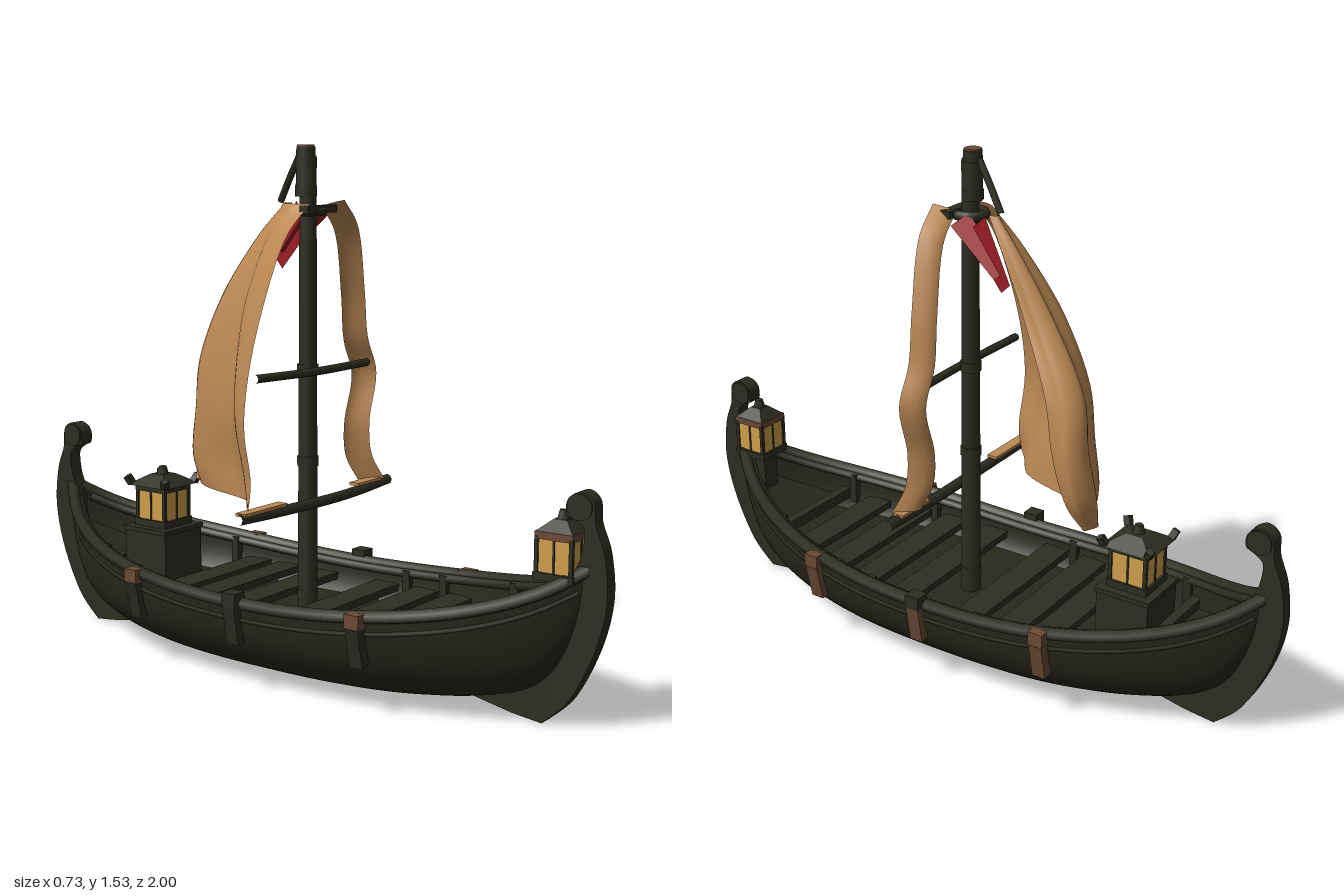
import * as THREE from 'three';

const mat = (name, color, side = THREE.FrontSide) => {
  const m = new THREE.MeshStandardMaterial({ color, side });
  m.name = name;
  return m;
};

// Surface from a rule f(u, v) -> [x, y, z]
function grid(nu, nv, f) {
  const pos = [], idx = [], w = nu + 1;
  for (let j = 0; j <= nv; j++) for (let i = 0; i <= nu; i++) pos.push(...f(i / nu, j / nv));
  for (let j = 0; j < nv; j++) for (let i = 0; i < nu; i++) {
    const a = j * w + i;
    idx.push(a, a + 1, a + w, a + 1, a + w + 1, a + w);
  }
  const g = new THREE.BufferGeometry();
  g.setAttribute('position', new THREE.Float32BufferAttribute(pos, 3));
  g.setIndex(idx);
  g.computeVertexNormals();
  return g;
}

// Hull lines, as functions of z
const LEN = 0.95;
const t = z => Math.min(Math.abs(z) / LEN, 1);
const beam = z => 0.31 * Math.pow(1 - Math.pow(t(z), 2.6), 0.9);
const sheer = z => 0.255 + 0.12 * t(z) ** 2 + 0.07 * t(z) ** 8;
const keel = z => 0.004 + 0.13 * t(z) ** 3 + 0.3 * t(z) ** 16;
// Half width of the hull at height y
const widthAt = (z, y) => {
  const f = THREE.MathUtils.clamp((y - keel(z)) / (sheer(z) - keel(z)), 0, 1);
  return beam(z) * Math.pow(1 - Math.pow(1 - f, 2.4), 1 / 2.4);
};

export function createModel() {
  const model = new THREE.Group();
  model.name = 'sailingBoat';
  const wood = mat('dark wood', 0x2e2d21);
  const shell = mat('dark hull wood', 0x29281c, THREE.DoubleSide);
  const cloth = mat('tan canvas', 0xbd8a55, THREE.DoubleSide);
  const red = mat('red cloth', 0x9a1c24, THREE.DoubleSide);
  const brown = mat('brown leather', 0x6b4a35);
  const amber = mat('amber glass', 0xd0a04c);

  const add = (name, geo, m, x = 0, y = 0, z = 0, parent = model) => {
    const mesh = new THREE.Mesh(geo, m);
    mesh.name = name;
    mesh.position.set(x, y, z);
    parent.add(mesh);
    return mesh;
  };
  const box = (name, w, h, d, m, x, y, z, parent) => add(name, new THREE.BoxGeometry(w, h, d), m, x, y, z, parent);
  const V = p => new THREE.Vector3(...p);
  const tube = (name, pts, r, m, n = 24, sides = 6) =>
    add(name, new THREE.TubeGeometry(new THREE.CatmullRomCurve3(pts.map(V)), n, r, sides), m);

  // Outer and inner hull shells
  const skin = (inset, lift) => grid(24, 72, (u, v) => {
    const z = Math.sin((v - 0.5) * Math.PI) * (LEN - inset);
    const a = (u * 2 - 1) * Math.PI / 2, p = 2 / 2.4;
    const k = Math.min(keel(z) + lift, sheer(z));
    const x = Math.sign(a) * Math.max(beam(z) - inset, 0) * Math.pow(Math.abs(Math.sin(a)), p);
    return [x, k + (sheer(z) - k) * (1 - Math.pow(Math.max(Math.cos(a), 0), p)), z];
  });
  add('hull', skin(0, 0), shell);
  add('hullInside', skin(0.022, 0.05), shell);

  // Gunwale rails with an inner rail and a plank strake
  for (const s of [-1, 1]) {
    const line = (end, drop, out) => Array.from({ length: 25 }, (_, i) => {
      const z = (i / 12 - 1) * end, y = sheer(z) - drop;
      return [s * Math.max(widthAt(z, y) + out, 0), y, z];
    });
    tube('gunwale', line(0.945, 0, -0.008), 0.02, wood, 64);
    tube('innerRail', line(0.89, 0.008, -0.032), 0.013, wood, 64);
    tube('strake', line(0.92, 0.045, -0.002), 0.007, wood, 64, 5);
  }

  // Floor, cross planks, ribs and end decks
  add('floor', grid(2, 30, (u, v) => {
    const z = (1 - v * 2) * 0.8, y = 0.155 + 0.1 * t(z) ** 3;
    return [(u * 2 - 1) * Math.max(widthAt(z, y) - 0.015, 0), y, z];
  }), shell);
  for (const z of [-0.36, -0.25, -0.11, 0.12, 0.27, 0.4, 0.54])
    box('crossPlank', 2 * widthAt(z, 0.2) - 0.04, 0.022, 0.085, wood, 0, 0.2 + 0.06 * z * z, z);
  for (const z of [-0.62, -0.44, -0.18, 0.2, 0.34, 0.62]) for (const s of [-1, 1])
    box('rib', 0.022, 0.1, 0.025, wood, s * (beam(z) - 0.034), sheer(z) - 0.048, z);
  for (const s of [-1, 1]) {
    const deck = grid(2, 8, (u, v) => {
      const z = s * (0.66 + 0.23 * v), y = sheer(z) - 0.09;
      return [(u * 2 - 1) * s * Math.max(widthAt(z, y) - 0.01, 0), y, z];
    });
    add('endDeck', deck, shell);
    box('endBeam', 2 * beam(0.65) - 0.05, 0.035, 0.03, wood, 0, sheer(0.65) - 0.075, s * 0.65);
  }

  // Stem and stern posts with curled heads and a foot below the keel
  const post = new THREE.Shape();
  post.moveTo(0.6, 0.035);
  post.lineTo(0.73, 0.01);
  post.lineTo(0.82, 0);
  post.splineThru([[0.9, 0.08], [0.97, 0.225], [1, 0.36], [0.99, 0.48], [0.962, 0.56], [0.955, 0.62], [0.92, 0.643],
    [0.882, 0.62], [0.878, 0.58], [0.905, 0.565], [0.93, 0.54], [0.925, 0.48], [0.905, 0.42],
    [0.9, 0.34], [0.86, 0.22], [0.79, 0.13], [0.7, 0.08]].map(p => new THREE.Vector2(...p)));
  for (const s of [-1, 1]) {
    const g = new THREE.ExtrudeGeometry(post, { depth: 0.044, bevelEnabled: false, curveSegments: 40 });
    g.translate(0, 0, -0.022).rotateY(-s * Math.PI / 2);
    add('endPost', g, wood);
    const curl = new THREE.CylinderGeometry(0.036, 0.036, 0.056, 14).rotateZ(Math.PI / 2);
    add('postCurl', curl, wood, 0, 0.602, s * 0.917);
  }

  // Straps hung on the outside, with brown caps over the rail
  for (const s of [-1, 1]) for (const z of [-0.4, 0, 0.4]) {
    const y0 = 0.14, y1 = 0.255, x0 = widthAt(z, y0), x1 = widthAt(z, y1);
    const strap = box('strap', 0.038, y1 - y0, 0.042, s > 0 ? brown : wood, s * ((x0 + x1) / 2 + 0.012), (y0 + y1) / 2, z);
    strap.rotation.z = -s * Math.atan2(x1 - x0, y1 - y0);
    box('strapTop', 0.046, 0.04, 0.046, z ? brown : wood, s * (x1 + 0.008), y1 + 0.016, z);
  }

  // Mast with collars and a bound head
  const mz = 0.025;
  add('mast', new THREE.CylinderGeometry(0.024, 0.03, 1.42, 10), wood, 0, 0.79, mz);
  add('mastHead', new THREE.CylinderGeometry(0.027, 0.029, 0.13, 10), wood, 0, 1.46, 0.017);
  add('mastCap', new THREE.CylinderGeometry(0.025, 0.025, 0.008, 10), brown, 0, 1.526, 0.017);
  for (const y of [0.22, 0.62, 0.89, 1.4, 1.48])
    add('mastCollar', new THREE.CylinderGeometry(0.031, 0.031, 0.03, 10), wood, 0, y, y > 1 ? 0.018 : mz);
  tube('stay', [[0, 1.5, -0.005], [0.015, 1.44, -0.05], [0.035, 1.37, -0.1]], 0.01, wood, 8);

  // Spars
  tube('upperSpar', [[-0.27, 0.89, 0.045], [0, 0.885, 0.055], [0.27, 0.885, 0.045]], 0.012, wood, 12, 8);
  tube('boom', [[-0.365, 0.512, 0.06], [-0.15, 0.505, 0.065], [0.15, 0.502, 0.065], [0.365, 0.512, 0.06]], 0.016, wood, 16, 8);
  box('sailFoot', 0.19, 0.009, 0.034, cloth, -0.26, 0.524, 0.06);
  box('stripFoot', 0.13, 0.009, 0.034, cloth, 0.25, 0.524, 0.06);
  box('topYoke', 0.14, 0.022, 0.03, wood, 0, 1.35, 0.062);
  const wrap = new THREE.TorusGeometry(0.042, 0.015, 8, 18).rotateX(Math.PI / 2);
  add('sailBinding', wrap, wood, 0, 1.345, mz);

  // Billowing sail: each row is a height and five (x, z) points from the luff round the curled leech
  const rows = [
    [1.365, -0.05, 0.07, -0.05, 0, 0, -0.06, 0.04, -0.09, 0.05, -0.07],
    [1.28, -0.13, 0.05, -0.08, -0.05, 0, -0.14, 0.05, -0.155, 0.065, -0.12],
    [1.1, -0.22, 0.04, -0.13, -0.1, -0.02, -0.26, 0.065, -0.27, 0.085, -0.21],
    [0.9, -0.28, 0.03, -0.16, -0.12, -0.02, -0.36, 0.1, -0.385, 0.13, -0.31],
    [0.75, -0.3, 0.03, -0.17, -0.12, -0.01, -0.39, 0.125, -0.405, 0.14, -0.34],
    [0.6, -0.285, 0.04, -0.15, -0.11, 0, -0.42, 0.1, -0.425, 0.125, -0.38],
    [0.51, -0.325, 0.06, -0.16, -0.08, 0, -0.4, 0.05, -0.425, 0.075, -0.41],
  ];
  const columns = [0, 1, 2, 3, 4].map(k => new THREE.CatmullRomCurve3(
    rows.map(r => new THREE.Vector3(r[1 + 2 * k], r[0], r[2 + 2 * k]))));
  add('sail', grid(36, 32, (u, v) => {
    const p = new THREE.CatmullRomCurve3(columns.map(c => c.getPoint(v))).getPoint(u);
    const fold = 0.009 * Math.sin(u * 23 + v * 2) * Math.sin(Math.PI * u) * Math.min(1, v * 3);
    return [p.x + fold, p.y, p.z + fold];
  }), cloth);

  // Loose strip of canvas on the left side
  const strip = new THREE.CatmullRomCurve3([[0.05, 1.365, 0.065], [0.13, 1.29, 0.055], [0.2, 1.1, 0.03],
    [0.23, 0.96, 0.02], [0.275, 0.85, 0.02], [0.245, 0.7, 0.015], [0.25, 0.6, 0.02], [0.28, 0.525, 0.045]].map(V));
  add('looseStrip', grid(4, 40, (u, v) => {
    const p = strip.getPoint(v), s = u * 2 - 1;
    return [p.x + s * (0.017 + 0.014 * v), p.y + s * 0.01 * (1 - v), p.z + s * 0.028 + 0.012 * s * s];
  }), cloth);

  // Red pennant with two tails: start, run and width vectors
  const tail = (start, run, width) => add('pennantTail', grid(4, 12, (u, v) => {
    const s = (0.5 - u) * (1 - 0.55 * v);
    return start.map((c, k) => c + run[k] * v + width[k] * s);
  }), red);
  tail([0.062, 1.335, -0.035], [0.04, -0.15, -0.125], [0.035, 0.07, -0.085]);
  tail([0.065, 1.345, 0.015], [0.035, -0.13, -0.15], [0.055, -0.03, 0.025]);

  // Lanterns: amber panes in a dark frame under a flared roof
  const lantern = (name, y, z, r, eave, horns) => {
    const g = new THREE.Group();
    g.name = name;
    g.position.set(0, y, z);
    model.add(g);
    const put = (n, w, h, d, x, yy, zz, m = wood) => box(n, w, h, d, m, x, yy, zz, g);
    put('lanternBase', 2.2 * r, 0.022, 2.2 * r, 0, 0.011, 0);
    put('lanternGlass', 1.94 * r, 0.1, 1.94 * r, 0, 0.07, 0, amber);
    put('lanternTop', 2.1 * r, 0.02, 2.1 * r, 0, 0.121, 0, horns ? wood : brown);
    for (const sx of [-1, 1]) for (const sz of [-1, 1]) {
      put('lanternPost', 0.011, 0.1, 0.011, sx * r * 0.95, 0.07, sz * r * 0.95);
      if (!horns) continue;
      const horn = put('roofHorn', 0.02, 0.028, 0.02, sx * eave * 0.92, 0.145, sz * eave * 0.92);
      horn.rotation.set(sz * 0.4, 0, -sx * 0.4);
    }
    for (const s of [-1, 1]) {
      put('paneBar', 0.006, 0.1, 0.006, 0, 0.07, s * r * 0.97);
      put('paneBar', 0.006, 0.1, 0.006, s * r * 0.97, 0.07, 0);
    }
    const roof = new THREE.CylinderGeometry(eave * 0.5, eave * 1.4, 0.032, 4).rotateY(Math.PI / 4).toNonIndexed();
    roof.computeVertexNormals();
    add('lanternRoof', roof, wood, 0, 0.145, 0, g);
    add('lanternFinial', new THREE.CylinderGeometry(0.012, 0.02, 0.03, 8), wood, 0, 0.17, 0, g);
  };
  box('lanternChest', 0.17, 0.2, 0.165, wood, 0, 0.25, -0.545);
  box('chestLid', 0.18, 0.014, 0.175, wood, 0, 0.347, -0.545);
  lantern('rearLantern', 0.354, -0.545, 0.058, 0.08, true);
  box('frontLanternStand', 0.06, 0.12, 0.06, wood, 0, 0.34, 0.855);
  lantern('frontLantern', 0.4, 0.86, 0.053, 0.056, false);

  return model;
}
